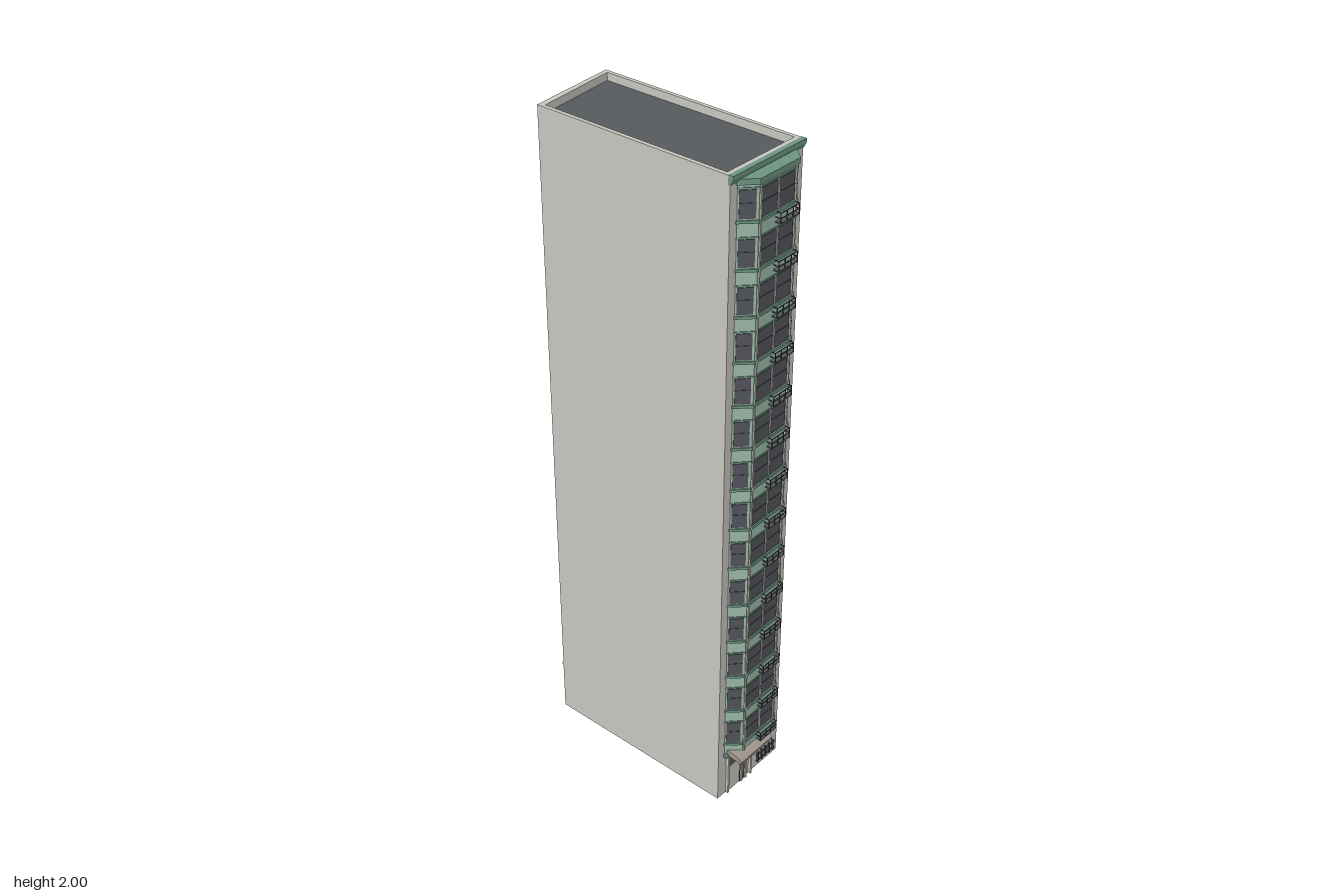
import * as THREE from 'three';

const FLOORS = 14, PITCH = 0.1287, FIRST = 0.207; // storeys, storey height, lowest bay sill

export function createModel() {
  const mat = (name, color) => Object.assign(new THREE.MeshStandardMaterial({ color }), { name });
  const stone = mat('pale stone', 0xc9c6bf);
  const green = mat('light green panel', 0x9dbaa9);
  const trim = mat('dark green trim', 0x6c9482);
  const glass = mat('dark glass', 0x53555b);
  const roofing = mat('roof grey', 0x565a5d);
  const iron = mat('iron', 0x3c3f42);
  const tan = mat('tan canopy', 0xa0978a);

  const model = new THREE.Group();
  model.name = 'apartmentTower';

  const add = (parent, name, geo, material) => {
    const m = new THREE.Mesh(geo, material);
    m.name = name;
    parent.add(m);
    return m;
  };
  // box given by centre x, bottom y, centre z
  const box = (parent, name, material, w, h, d, x, y, z) => {
    const m = add(parent, name, new THREE.BoxGeometry(w, h, d), material);
    m.position.set(x, y + h / 2, z);
    return m;
  };
  // upright prism over a plan outline of [x, z] points, optionally hollow
  const toVecs = (pts) => pts.map(([x, z]) => new THREE.Vector2(x, -z));
  const prism = (parent, name, material, pts, y0, y1, hole) => {
    const s = new THREE.Shape(toVecs(pts));
    if (hole) s.holes.push(new THREE.Path(toVecs(hole)));
    const g = new THREE.ExtrudeGeometry(s, { depth: y1 - y0, bevelEnabled: false });
    g.rotateX(-Math.PI / 2).translate(0, y0, 0);
    return add(parent, name, g, material);
  };
  // group whose local +z faces out of a wall running from a to b
  const facade = (name, a, b) => {
    const g = new THREE.Group();
    g.name = name;
    g.position.set((a[0] + b[0]) / 2, 0, (a[1] + b[1]) / 2);
    g.rotation.y = Math.atan2(-(b[1] - a[1]), b[0] - a[0]);
    model.add(g);
    return g;
  };

  // Hollow tower walls, open at the bottom, with the top edge as parapet
  const outer = [[-0.14, 0.29], [0.136, 0.29], [0.138, -0.35], [-0.138, -0.328]];
  const inner = [[-0.128, 0.271], [0.125, 0.271], [0.126, -0.335], [-0.126, -0.311]];
  prism(model, 'walls', stone, outer, 0, 2, inner);
  prism(model, 'roof', roofing, inner, 1.965, 1.978);

  // Front cornice with a sloping underside
  const profile = new THREE.Shape();
  [[0.284, 1.975], [0.291, 1.975], [0.299, 1.989], [0.299, 2.001], [0.284, 2.001]]
    .forEach(([z, y], i) => (i ? profile.lineTo(-z, y) : profile.moveTo(-z, y)));
  const corniceGeo = new THREE.ExtrudeGeometry(profile, { depth: 0.277, bevelEnabled: false });
  corniceGeo.rotateY(Math.PI / 2).translate(-0.14, 0, 0);
  add(model, 'cornice', corniceGeo, trim);

  // Bay: core, base, cap, and ledges at each storey
  const bayPlan = (o) => [[-0.115 - o, 0.288], [-0.075 - o * 0.5, 0.326 + o],
    [0.07 + o * 0.5, 0.326 + o], [0.107 + o, 0.288]];
  prism(model, 'bayCore', green, bayPlan(0), 0.15, 1.975);
  prism(model, 'bayBase', trim, bayPlan(-0.003), 0.14, 0.15);
  prism(model, 'bayFoot', trim, bayPlan(0.004), 0.15, 0.162);
  prism(model, 'bayCap', trim, bayPlan(0.005), 1.968, 1.984);
  for (let i = 0; i < FLOORS; i++) {
    const y = FIRST + i * PITCH;
    prism(model, 'baySill', trim, bayPlan(0.004), y - 0.012, y - 0.004);
    prism(model, 'bayLintel', trim, bayPlan(0.002), y + 0.077, y + 0.081);
  }

  // Bay windows on the front and both angled sides
  const p = bayPlan(0);
  const sides = [
    [facade('baySideRight', p[0], p[1]), [[0, 0.041]]],
    [facade('bayFront', p[1], p[2]), [[-0.034, 0.058], [0.031, 0.058]]],
    [facade('baySideLeft', p[2], p[3]), [[0, 0.041]]],
  ];
  for (const [g, windows] of sides) {
    for (let i = 0; i < FLOORS; i++) {
      const y = FIRST + i * PITCH;
      for (const [x, w] of windows) {
        box(g, 'bayWindow', glass, w, 0.075, 0.002, x, y, 0.001);
        box(g, 'windowRail', iron, w, 0.002, 0.003, x, y + 0.04, 0.0015);
      }
    }
  }
  const front = sides[1][0];
  for (const x of [-0.068, 0.066]) box(front, 'bayPilaster', stone, 0.005, 1.806, 0.004, x, 0.162, 0.002);
  for (let i = 0; i < FLOORS; i++) {
    box(front, 'windowMullion', stone, 0.005, 0.077, 0.004, -0.0015, FIRST + i * PITCH, 0.002);
  }

  // Small iron balconies on the front of the bay
  for (let i = 0; i < FLOORS; i++) {
    const g = new THREE.Group();
    g.name = 'balcony';
    g.position.set(0.025, FIRST - 0.036 + i * PITCH, 0.326);
    model.add(g);
    box(g, 'balconyFloor', roofing, 0.074, 0.003, 0.017, 0, 0, 0.0085);
    for (const y of [0.014, 0.028]) {
      box(g, 'balconyRail', iron, 0.074, 0.002, 0.002, 0, y, 0.016);
      for (const s of [-1, 1]) box(g, 'balconySideRail', iron, 0.002, 0.002, 0.017, s * 0.036, y, 0.0085);
    }
    for (const x of [-0.036, -0.012, 0.012, 0.036]) {
      box(g, 'balconyPost', iron, 0.002, 0.03, 0.002, x, 0, 0.016);
    }
  }

  // Entrance: door leaf, posts, glazing and sloping canopy
  box(model, 'doorPanel', stone, 0.056, 0.13, 0.004, -0.068, 0, 0.291);
  for (const x of [-0.1, -0.037, -0.018, 0.006]) {
    box(model, 'doorPost', stone, 0.007, 0.14, 0.009, x, 0, 0.2935);
  }
  for (const x of [-0.094, -0.042]) box(model, 'doorGap', iron, 0.004, 0.13, 0.005, x, 0, 0.2915);
  box(model, 'sidelight', glass, 0.012, 0.1, 0.005, -0.0275, 0, 0.2915);
  box(model, 'transom', glass, 0.11, 0.034, 0.006, -0.042, 0.098, 0.292);
  const canopyShape = new THREE.Shape();
  [[0.288, 0.155], [0.349, 0.15], [0.35, 0.16], [0.335, 0.169], [0.288, 0.177]]
    .forEach(([z, y], i) => (i ? canopyShape.lineTo(-z, y) : canopyShape.moveTo(-z, y)));
  const canopyGeo = new THREE.ExtrudeGeometry(canopyShape, { depth: 0.142, bevelEnabled: false });
  canopyGeo.rotateY(Math.PI / 2).translate(-0.107, 0, 0);
  add(model, 'canopy', canopyGeo, tan);

  // Ground floor grille at the front
  for (const y of [0.02, 0.044]) box(model, 'grilleBar', iron, 0.084, 0.002, 0.006, 0.08, y, 0.293);
  for (let i = 0; i < 5; i++) {
    box(model, 'grillePost', iron, 0.003, 0.038, 0.006, 0.044 + i * 0.018, 0.015, 0.293);
  }

  // Back wall: rows of small windows, string course and door
  const back = facade('backWall', outer[2], outer[3]);
  const backWindow = (x, y) => {
    box(back, 'backWindow', glass, 0.028, 0.046, 0.002, x, y - 0.023, 0.001);
    box(back, 'backWindowRail', stone, 0.028, 0.003, 0.003, x, y, 0.0015);
    box(back, 'backSill', iron, 0.036, 0.004, 0.005, x, y - 0.027, 0.0025);
  };
  for (let i = 0; i < FLOORS; i++) {
    for (const x of [-0.07, 0.002, 0.073]) backWindow(x, 0.222 + i * PITCH);
  }
  for (const x of [-0.07, 0.07]) backWindow(x, 0.085);
  box(back, 'stringCourse', stone, 0.276, 0.008, 0.006, 0, 0.163, 0.002);
  box(back, 'backDoorFrame', iron, 0.04, 0.082, 0.002, 0.002, 0, 0.001);
  box(back, 'backDoor', stone, 0.034, 0.078, 0.003, 0.002, 0, 0.0015);

  return model;
}
